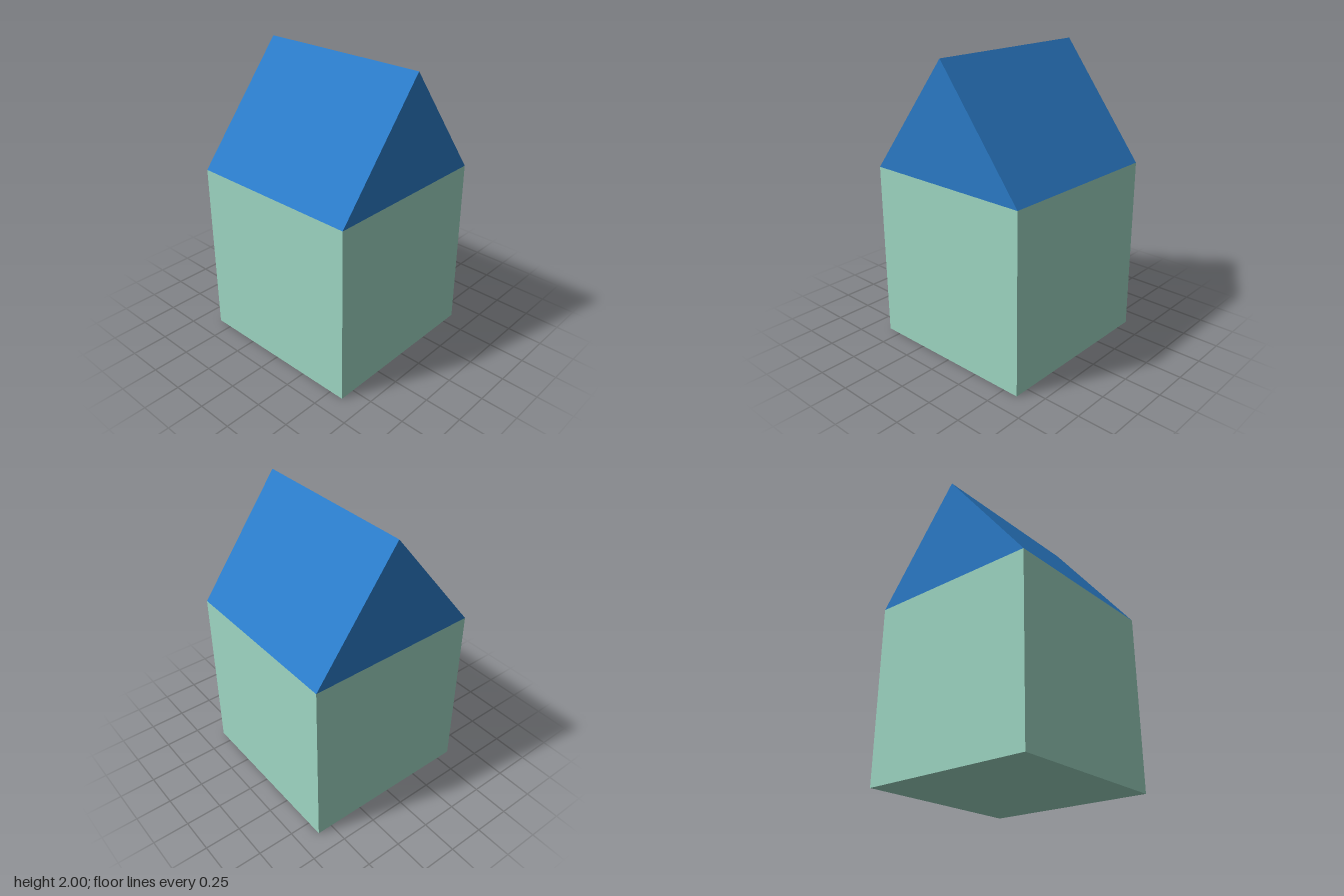
import * as THREE from 'three';

const HALF = 0.605, DEPTH = 1.21, BACK = -0.61, EAVE = 1.22, RIDGE = 2;

export function createModel() {
  const house = new THREE.Group();
  house.name = 'house';

  // Plain block of walls
  const walls = new THREE.Mesh(
    new THREE.BoxGeometry(2 * HALF, EAVE, DEPTH),
    new THREE.MeshStandardMaterial({ color: 0x9fd8c4 })
  );
  walls.name = 'walls';
  walls.position.set(0, EAVE / 2, BACK + DEPTH / 2);
  house.add(walls);

  // Gable roof: a triangular prism with its ridge slightly off centre
  const gable = new THREE.Shape([
    new THREE.Vector2(-HALF, EAVE),
    new THREE.Vector2(HALF, EAVE),
    new THREE.Vector2(0.02, RIDGE),
  ]);
  const roofGeometry = new THREE.ExtrudeGeometry(gable, { depth: DEPTH, bevelEnabled: false });
  roofGeometry.translate(0, 0, BACK);

  // The ridge leans forward a touch
  const p = roofGeometry.attributes.position;
  for (let i = 0; i < p.count; i++) {
    if (p.getY(i) > EAVE + 0.1) p.setZ(i, p.getZ(i) + 0.01);
  }
  roofGeometry.computeVertexNormals();

  const roof = new THREE.Mesh(roofGeometry, new THREE.MeshStandardMaterial({ color: 0x2b7cc9 }));
  roof.name = 'roof';
  house.add(roof);

  return house;
}
